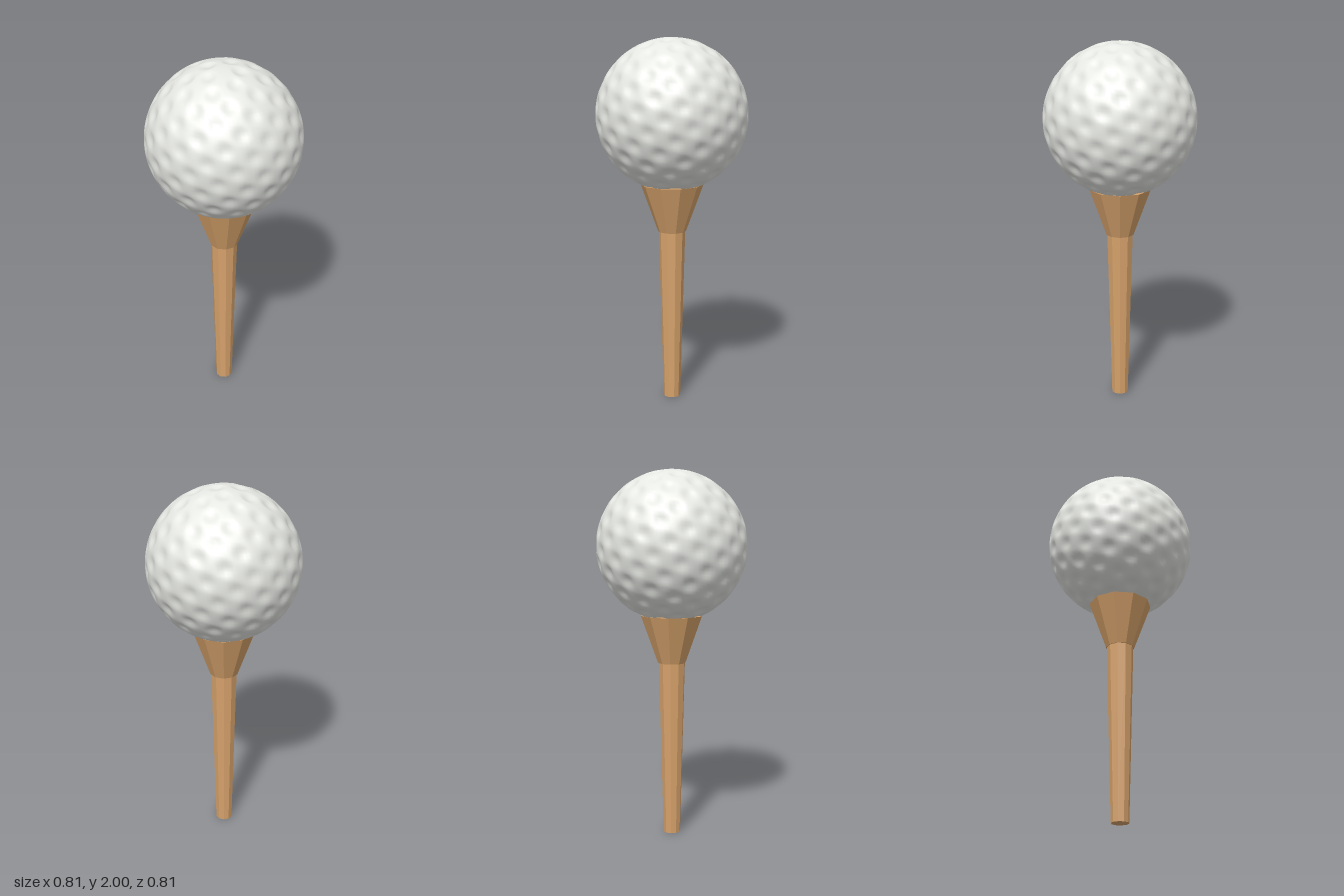
import * as THREE from 'three';
import { mergeVertices } from 'three/addons/utils/BufferGeometryUtils.js';

const RADIUS = 0.407, DIMPLES = 160, DIMPLE_ANGLE = 0.115, DEPTH = 0.012;

// Dimple centres spread over the sphere on a golden-angle spiral
function dimpleCentres() {
  const step = Math.PI * (3 - Math.sqrt(5));
  return Array.from({ length: DIMPLES }, (_, i) => {
    const y = 1 - (2 * (i + 0.5)) / DIMPLES;
    const r = Math.sqrt(1 - y * y);
    return new THREE.Vector3(r * Math.cos(i * step), y, -r * Math.sin(i * step));
  });
}

// Smooth sphere pressed inward around every dimple centre
function ballGeometry() {
  let geo = new THREE.SphereGeometry(1, 128, 80);
  geo.deleteAttribute('uv');
  geo.deleteAttribute('normal');
  geo = mergeVertices(geo, 1e-5);
  const centres = dimpleCentres();
  const pos = geo.attributes.position;
  const v = new THREE.Vector3();
  for (let i = 0; i < pos.count; i++) {
    v.fromBufferAttribute(pos, i).normalize();
    let dent = 0;
    for (const c of centres) {
      const t = v.distanceTo(c) / DIMPLE_ANGLE;
      if (t < 1) dent = Math.max(dent, (1 - t * t) ** 1.5);
    }
    v.multiplyScalar(RADIUS - DEPTH * dent);
    pos.setXYZ(i, v.x, v.y, v.z);
  }
  geo.computeVertexNormals();
  return geo;
}

export function createModel() {
  const group = new THREE.Group();
  const white = new THREE.MeshStandardMaterial({ color: 0xeef0eb });
  white.name = 'ballWhite';
  const wood = new THREE.MeshStandardMaterial({ color: 0xd6a26b, flatShading: true });
  wood.name = 'teeWood';

  const add = (name, geo, mat, y) => {
    const mesh = new THREE.Mesh(geo, mat);
    mesh.name = name;
    mesh.position.y = y;
    group.add(mesh);
  };

  add('ball', ballGeometry(), white, 2 - RADIUS);
  // Tee: tapered stem under a flared cup
  add('teeStem', new THREE.CylinderGeometry(0.073, 0.047, 0.965, 10), wood, 0.4825);
  add('teeCup', new THREE.CylinderGeometry(0.171, 0.077, 0.26, 10), wood, 1.09);
  return group;
}
